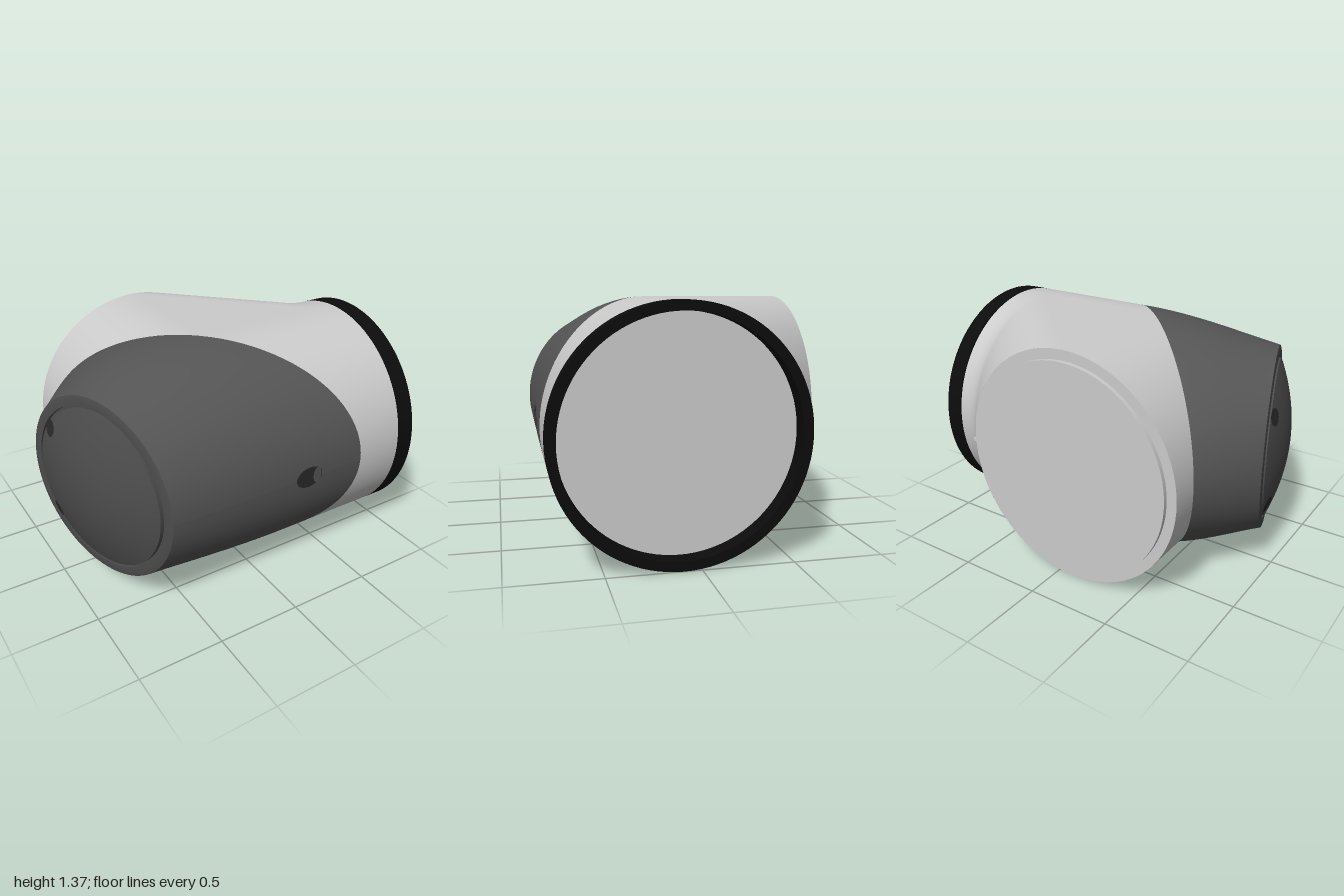
import * as THREE from 'three';
import { toCreasedNormals } from 'three/addons/utils/BufferGeometryUtils.js';

const R = 0.683;              // tube radius, also the axis height
const CX = -0.09, CZ = 0.0975; // axis of the rear tube (x) and of the side tube (z)
const BACK = -0.755, SIDE = 0.884;

const paint = (color) => new THREE.MeshStandardMaterial({ color, side: THREE.DoubleSide });

// Smooth surface from a rule p(u, v) -> [x, y, z]
function patch(p, nu, nv) {
  const pos = [], idx = [];
  for (let i = 0; i <= nu; i++) for (let j = 0; j <= nv; j++) pos.push(...p(i / nu, j / nv));
  for (let i = 0; i < nu; i++) for (let j = 0; j < nv; j++) {
    const a = i * (nv + 1) + j, b = a + nv + 1;
    idx.push(a, b, a + 1, b, b + 1, a + 1);
  }
  const g = new THREE.BufferGeometry();
  g.setAttribute('position', new THREE.Float32BufferAttribute(pos, 3));
  g.setIndex(idx);
  g.computeVertexNormals();
  return g;
}

function lathe(points, segments = 96) {
  const g = new THREE.LatheGeometry(points.map(([r, h]) => new THREE.Vector2(r, h)), segments);
  return toCreasedNormals(g, 0.4);
}

// Path of the bridge at angle t: 45 degrees from the rear tube, then a soft bend to the side tube
function bridgePoint(t, v) {
  const c = R * Math.cos(t), y = R + R * Math.sin(t);
  const bend = CX + CZ - BACK, z1 = CZ - c;
  if (v < 0.25) {
    const x = THREE.MathUtils.lerp(CX + c, bend - 0.07, v / 0.25);
    return [x, y, BACK + x - (CX + c)];
  }
  if (v > 0.95) return [SIDE, y, z1];
  const k = (v - 0.25) / 0.7, a = (1 - k) ** 2, b = 2 * k * (1 - k);
  return [a * (bend - 0.07) + b * bend + k * k * (bend + 0.09), y, z1 - 0.07 * a];
}

export function createModel() {
  const model = new THREE.Group();
  const light = paint(0xcccccc), dark = paint(0x555555), coverDark = paint(0x4c4c4c);
  const black = paint(0x0c0c0c), hollow = paint(0x2a2a2a);
  const lerp = THREE.MathUtils.lerp;
  const add = (name, geometry, material, parent = model) => {
    const m = new THREE.Mesh(geometry, material);
    m.name = name;
    parent.add(m);
    return m;
  };

  // Elbow body: two half tubes that meet at the mitre, bridged on the inside
  const body = new THREE.Group();
  body.name = 'elbowBody';
  model.add(body);
  add('rearTube', patch((u, v) => {
    const t = Math.PI * (0.5 + u), c = R * Math.cos(t);
    return [CX + c, R + R * Math.sin(t), lerp(CZ + c, BACK, v)];
  }, 48, 1), light, body);
  add('sideTube', patch((u, v) => {
    const t = Math.PI * (u - 0.5), c = R * Math.cos(t);
    return [lerp(SIDE, CX + c, v), R + R * Math.sin(t), CZ + c];
  }, 48, 1), light, body);
  add('innerBridge', patch((u, v) => bridgePoint(Math.PI * (u - 0.5), v), 64, 20), light, body);

  // Flat areas that close the top and bottom, bounded by the bridge path
  for (const t of [-Math.PI / 2, Math.PI / 2]) {
    add('bridgeFlat', patch((u, v) => {
      const [x, y, z] = bridgePoint(t, v);
      return [x, y, lerp(z, CZ, u)];
    }, 1, 20), light, body);
  }

  // Rear face with raised flange disc
  const rearFlange = add('rearFlange', lathe([
    [R, 0], [0.625, 0], [0.625, 0.025], [0, 0.025]]), light);
  rearFlange.rotation.x = -Math.PI / 2;
  rearFlange.position.set(CX, R, BACK);

  // Side opening: end face, black ring set off by a narrow groove, recessed disc
  const side = new THREE.Group();
  side.name = 'sideOpening';
  side.position.set(0, R, CZ);
  side.rotation.z = -Math.PI / 2;
  model.add(side);
  add('endFace', lathe([[R, SIDE], [0.64, SIDE]]), light, side);
  add('sealRing', lathe([[0.645, SIDE], [0.645, 0.892], [R, 0.892], [R, 1],
    [0.63, 1], [0.63, SIDE]]), black, side);
  const disc = add('sideDisc', new THREE.CircleGeometry(0.632, 96), light, side);
  disc.rotation.x = -Math.PI / 2;
  disc.position.y = 0.9;

  // Dark shell: loft from the mitre ellipse to the smaller tilted rim
  const RIM = 0.545, rx = -0.83, rz = 0.258, ex = 0.315, ez = 0.949;
  add('shell', patch((u, v) => {
    const c = Math.cos(u * Math.PI * 2), s = Math.sin(u * Math.PI * 2);
    return [
      lerp(CX + R * c, rx + RIM * ex * c, v),
      R + s * (lerp(R, RIM, v) + 0.11 * v * (1 - v) ** 1.5),
      lerp(CZ + R * c, rz + RIM * ez * c, v)];
  }, 96, 16), dark);

  // Domed end cover with a groove around it
  const cover = new THREE.Group();
  cover.name = 'endCover';
  cover.position.set(rx, R, rz);
  cover.quaternion.setFromUnitVectors(
    new THREE.Vector3(0, 1, 0), new THREE.Vector3(-ez, 0, ex).normalize());
  model.add(cover);
  const dome = (r) => 0.115 * (1 - (r / 0.5) ** 2);
  const profile = [[RIM, 0], [0.525, 0.006], [0.487, 0.006], [0.485, -0.01], [0.472, -0.01]];
  for (let i = 0; i <= 12; i++) profile.push([0.47 * (1 - i / 12), dome(0.47 * (1 - i / 12))]);
  add('dome', lathe(profile), coverDark, cover);

  // Two screw holes at the rear edge of the cover
  for (const sy of [-1, 1]) {
    const p = new THREE.Vector3(-0.34 * ex, 0.27 * sy, -0.34 * ez);
    p.applyQuaternion(cover.quaternion.clone().invert());
    const hole = add('screwHole', new THREE.CircleGeometry(0.05, 32), hollow, cover);
    hole.position.set(p.x, dome(0.434) + 0.004, p.z);
    hole.quaternion.setFromUnitVectors(new THREE.Vector3(0, 0, 1),
      new THREE.Vector3(p.x * 0.92, 1, p.z * 0.92).normalize());
  }

  // Slanted bore in the front of the shell
  const bore = new THREE.Group();
  bore.name = 'frontBore';
  bore.position.set(0.215, 0.69, CZ + R + 0.001);
  model.add(bore);
  add('boreMouth', new THREE.CircleGeometry(0.065, 40).scale(1.38, 1, 1), hollow, bore);
  const wall = add('boreWall', new THREE.CircleGeometry(0.05, 32).scale(0.56, 1, 1), dark, bore);
  wall.position.set(0.055, 0, 0.001);

  // Small alignment mark beside the rear flange
  add('rearMark', new THREE.BoxGeometry(0.035, 0.02, 0.03), light)
    .position.set(CX + R + 0.004, R, BACK + 0.016);

  return model;
}
